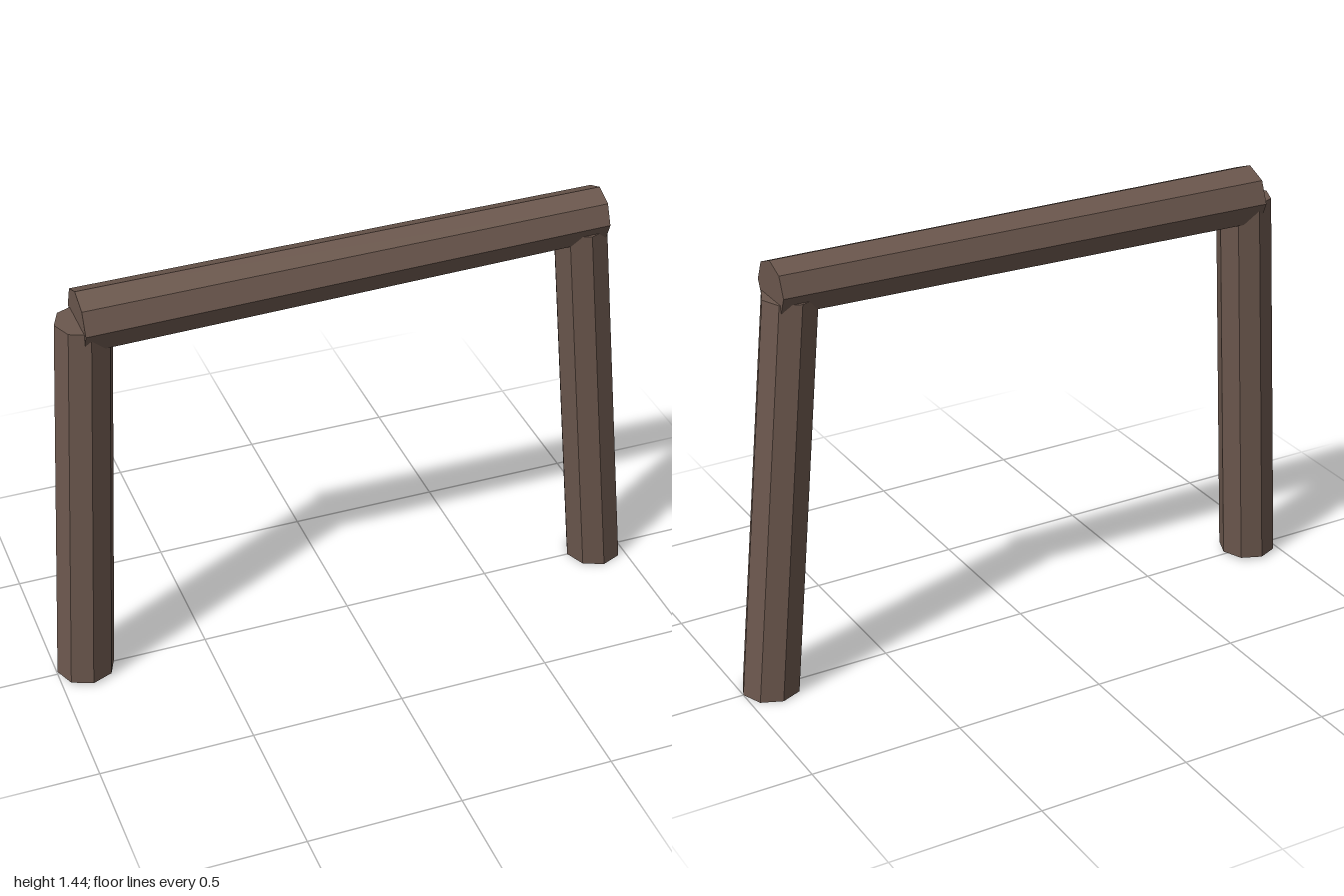
import * as THREE from 'three';

// Eight-sided log whose end cuts stay parallel while its axis leans (sheared cylinder).
function leaningLog(rStart, rEnd, length, shift, openEnded) {
  const geo = new THREE.CylinderGeometry(rEnd, rStart, length, 8, 1, openEnded);
  geo.translate(0, length / 2, 0);
  const p = geo.attributes.position;
  for (let i = 0; i < p.count; i++) p.setX(i, p.getX(i) + (shift * p.getY(i)) / length);
  geo.computeVertexNormals();
  return geo;
}

export function createModel() {
  const group = new THREE.Group();
  const wood = new THREE.MeshStandardMaterial({ color: 0x6b574d, flatShading: true, side: THREE.DoubleSide });
  wood.name = 'darkWood';

  const add = (parent, name, geo) => {
    const mesh = new THREE.Mesh(geo, wood);
    mesh.name = name;
    parent.add(mesh);
    return mesh;
  };

  // Posts lean inward; the foot is open and the head is closed.
  const posts = [
    { name: 'rightPost', x: -0.905, y: 0.01, shift: 0.075 },
    { name: 'leftPost', x: 0.905, y: 0, shift: -0.125 },
  ];
  for (const { name, x, y, shift } of posts) {
    const post = new THREE.Group();
    post.name = name;
    post.position.set(x, y, 0);
    const height = 1.32 - y;
    add(post, name + 'Shaft', leaningLog(0.095, 0.09, height, shift, true));
    const head = new THREE.CircleGeometry(0.09, 8);
    head.rotateX(-Math.PI / 2);
    add(post, name + 'Head', head).position.set(shift, height, 0);
    group.add(post);
  }

  // Crossbeam rises and narrows slightly toward +x, with upright end cuts.
  const beam = add(group, 'crossbeam', leaningLog(0.1, 0.09, 1.69, -0.028, false));
  beam.rotation.z = -Math.PI / 2;
  beam.position.set(-0.85, 1.321, 0);

  return group;
}
